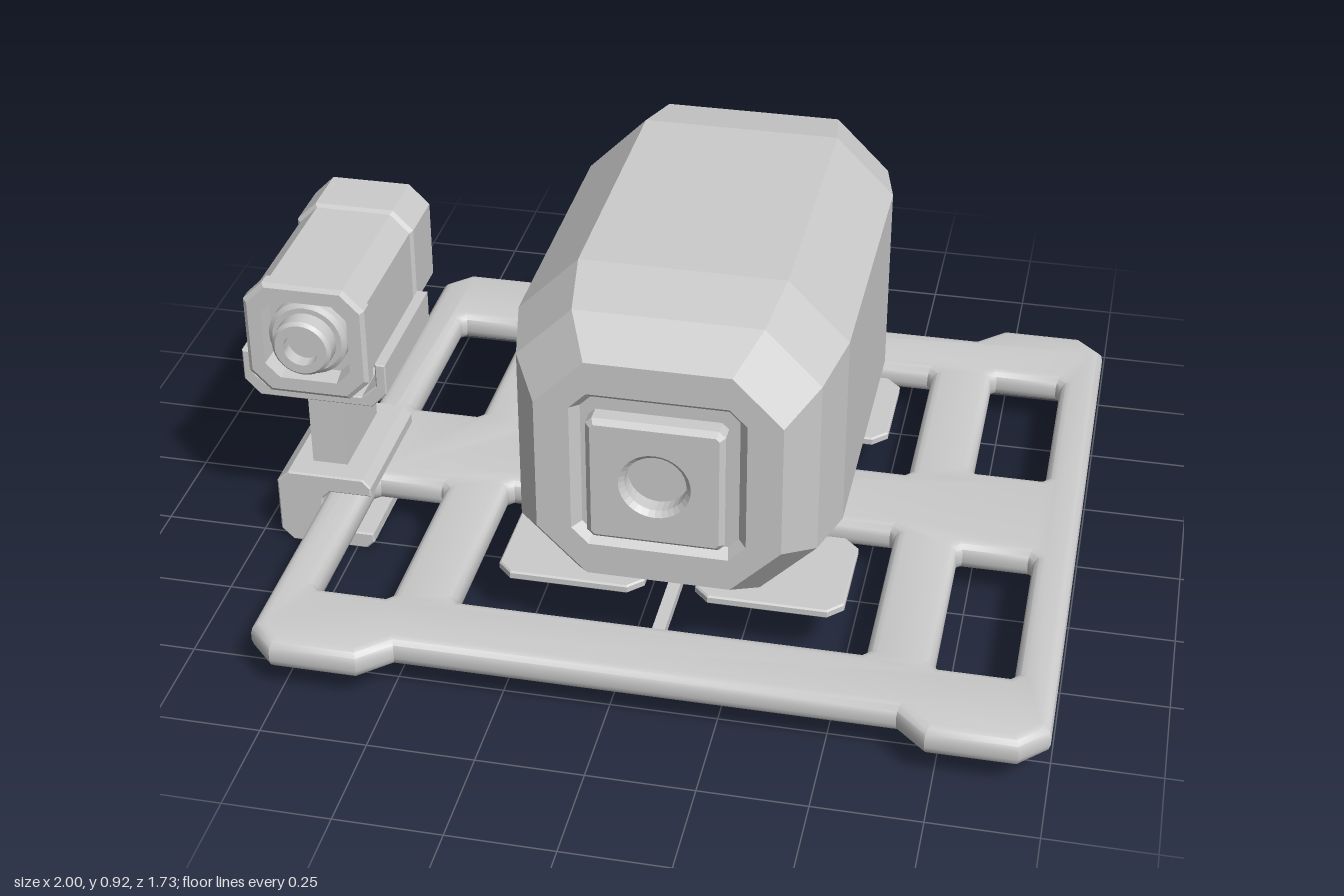
import * as THREE from 'three';
import { toCreasedNormals } from 'three/addons/utils/BufferGeometryUtils.js';

const flat = new THREE.MeshStandardMaterial({ color: 0xcccccc, flatShading: true });
const smooth = new THREE.MeshStandardMaterial({ color: 0xcccccc });
const CX = 0.083; // middle of the tray and the main housing
const CAM = -0.825; // middle of the small camera

function add(parent, name, geometry, x = 0, y = 0, z = 0, material = flat) {
  const mesh = new THREE.Mesh(geometry, material);
  mesh.name = name;
  mesh.position.set(x, y, z);
  parent.add(mesh);
  return mesh;
}

const box = (w, h, d) => new THREE.BoxGeometry(w, h, d);
const polygon = (pts) => new THREE.Shape(pts.map(([x, y]) => new THREE.Vector2(x, y)));

// rectangle with cut corners
function cutRect(x0, x1, y0, y1, c) {
  return [[x0 + c, y0], [x1 - c, y0], [x1, y0 + c], [x1, y1 - c],
    [x1 - c, y1], [x0 + c, y1], [x0, y1 - c], [x0, y0 + c]];
}

// extrusion whose bevel stays inside the drawn outline
function slab(shape, thickness, bevel, segments = 1) {
  return new THREE.ExtrudeGeometry(shape, {
    depth: thickness - 2 * bevel, bevelEnabled: bevel > 0, bevelThickness: bevel,
    bevelSize: bevel, bevelOffset: -bevel, bevelSegments: segments, curveSegments: 16,
  }).translate(0, 0, bevel);
}

// octagonal loft, rings [z, half width, corner cut] listed from front to back
function octLoft(rings) {
  const loops = rings.map(([z, h, c]) => cutRect(-h, h, -h, h, c).map(([x, y]) => [x, y, z]));
  const pos = [];
  for (let i = 0; i < loops.length - 1; i++) {
    for (let j = 0; j < 8; j++) {
      const k = (j + 1) % 8;
      const a = loops[i][j], b = loops[i][k], c = loops[i + 1][k], d = loops[i + 1][j];
      if (rings[i + 1][1] > 0) pos.push(...a, ...d, ...c);
      if (rings[i][1] > 0) pos.push(...a, ...c, ...b);
    }
  }
  const g = new THREE.BufferGeometry();
  g.setAttribute('position', new THREE.Float32BufferAttribute(pos, 3));
  g.computeVertexNormals();
  return g;
}

function makeTray() {
  const tray = new THREE.Group();
  tray.name = 'tray';
  // outline with a widened foot at each corner
  const quarter = [[0.915, 0.80], [0.85, 0.865], [0.645, 0.865], [0.575, 0.80]];
  const mirror = (sx, sy) => quarter.map(([x, y]) => [CX + sx * x, sy * y]);
  const shape = polygon([...mirror(1, 1), ...mirror(-1, 1).reverse(),
    ...mirror(-1, -1), ...mirror(1, -1).reverse()]);
  for (const s of [-1, 1]) {
    const hole = (x0, x1, y0, y1) => shape.holes.push(polygon(
      cutRect(x0, x1, Math.min(s * y0, s * y1), Math.max(s * y0, s * y1), 0.012)));
    hole(-0.73, -0.55, 0.165, 0.63);
    hole(CX - 0.48, CX + 0.48, 0.125, 0.612);
    hole(0.72, 0.90, 0.165, 0.63);
  }
  add(tray, 'trayFrame', toCreasedNormals(slab(shape, 0.075, 0.028, 3).rotateX(-Math.PI / 2), 0.6),
    0, 0.065, 0, smooth);

  // pads that carry the housing, with a slim rail and fin between each pair
  for (const sz of [-1, 1]) {
    for (const sx of [-1, 1]) {
      const pad = slab(polygon(cutRect(-0.175, 0.175, -0.148, 0.148, 0.035)), 0.022, 0.004);
      add(tray, 'supportPad', pad.rotateX(-Math.PI / 2), CX + sx * 0.235, 0.14, sz * 0.367);
    }
    add(tray, 'supportRail', box(0.03, 0.025, 0.5), CX, 0.11, sz * 0.367);
    add(tray, 'supportFin', box(0.09, 0.06, 0.02), CX, 0.13, sz * 0.367);
  }
  return tray;
}

function makeHousing() {
  const housing = new THREE.Group();
  housing.name = 'housing';
  housing.position.set(CX, 0.54, 0);
  // shell with a shallow front recess and a deep rear recess
  add(housing, 'housingShell', octLoft([
    [0.585, 0, 0], [0.585, 0.18, 0.025], [0.61, 0.2, 0.04], [0.61, 0.28, 0.115],
    [0.50, 0.345, 0.13], [0.34, 0.38, 0.142], [-0.37, 0.38, 0.142],
    [-0.54, 0.345, 0.13], [-0.61, 0.305, 0.115], [-0.61, 0.25, 0.095],
    [-0.51, 0.215, 0.07], [-0.51, 0, 0],
  ]));
  // square front plate with a round socket
  const plate = polygon(cutRect(-0.157, 0.157, -0.157, 0.157, 0.015));
  plate.holes.push(new THREE.Path().absarc(0, 0, 0.07, 0, Math.PI * 2, true));
  add(housing, 'frontPlate', slab(plate, 0.06, 0.012), 0, 0, 0.585);
  add(housing, 'socketFloor', new THREE.CircleGeometry(0.075, 32), 0, 0, 0.595);
  return housing;
}

function makeCamera() {
  const camera = new THREE.Group();
  camera.name = 'sideCamera';
  camera.position.x = CAM;
  // barrel: front collar, slimmer middle, rear section with recess
  add(camera, 'cameraBarrel', octLoft([
    [0.27, 0, 0], [0.27, 0.1, 0.035], [0.32, 0.105, 0.035], [0.32, 0.138, 0.046],
    [0.312, 0.148, 0.05], [0.28, 0.148, 0.05], [0.272, 0.14, 0.047],
    [-0.077, 0.14, 0.047], [-0.085, 0.148, 0.05], [-0.225, 0.148, 0.05],
    [-0.235, 0.14, 0.047], [-0.235, 0.112, 0.037], [-0.195, 0.1, 0.033], [-0.195, 0, 0],
  ]), 0, 0.607, 0);

  // stepped round lens
  const profile = [[0.096, 0.27], [0.096, 0.3], [0.085, 0.308], [0.072, 0.308], [0.072, 0.347],
    [0.064, 0.355], [0.042, 0.355], [0.042, 0.32], [0, 0.32]];
  const lens = new THREE.LatheGeometry(profile.map(([r, h]) => new THREE.Vector2(r, h)), 32);
  add(camera, 'lens', toCreasedNormals(lens.rotateX(Math.PI / 2), 0.5), 0, 0.607, 0, smooth);

  // cradle under the barrel
  const half = [[0.178, 0.54], [0.178, 0.46], [0.14, 0.42]];
  const inner = [[0.115, 0.445], [0.152, 0.48], [0.152, 0.54]];
  const flip = (pts) => pts.map(([x, y]) => [-x, y]).reverse();
  add(camera, 'cradle', slab(polygon([...half, ...flip(half), ...flip(inner), ...inner]), 0.36, 0.003),
    0, 0, -0.08);

  // post and C-shaped clamp gripping the tray edge
  add(camera, 'post', box(0.088, 0.25, 0.24), 0, 0.31, 0.1);
  add(camera, 'clamp', slab(polygon([
    [-0.09, 0], [0.1, 0], [0.12, 0.02], [0.12, 0.045], [0.015, 0.045], [-0.005, 0.065],
    [-0.005, 0.135], [0.015, 0.155], [0.12, 0.155], [0.12, 0.18], [0.1, 0.202],
    [-0.09, 0.202], [-0.12, 0.172], [-0.12, 0.03],
  ]), 0.35, 0.004), 0, 0, -0.07);
  return camera;
}

export function createModel() {
  const model = new THREE.Group();
  model.name = 'cameraTray';
  model.add(makeTray(), makeHousing(), makeCamera());
  return model;
}
